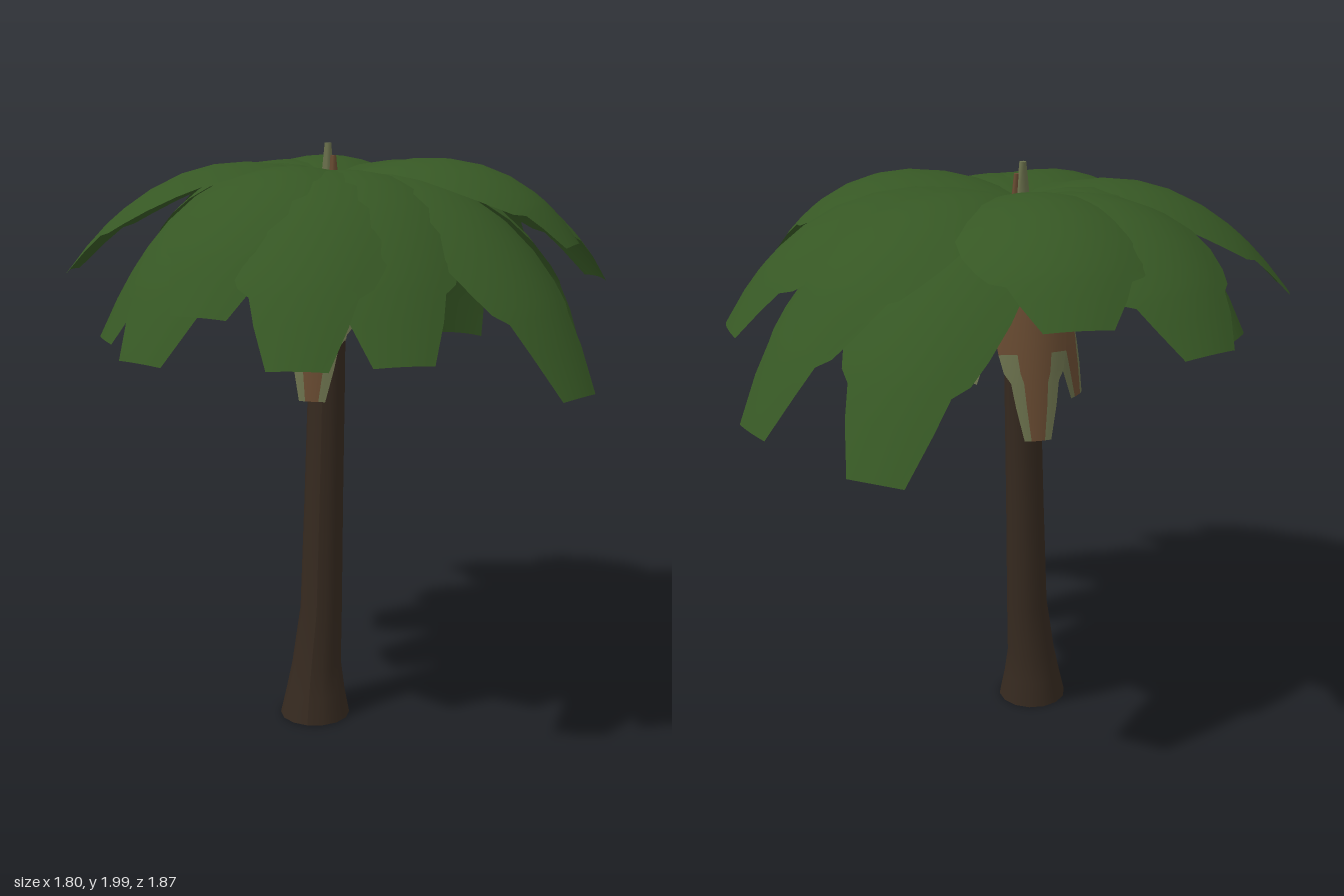
import * as THREE from 'three';

const mat = (name, color) =>
  new THREE.MeshStandardMaterial({ name, color, side: THREE.DoubleSide });

// Blade outline as [position along the spine, half width]; the last rows form the torn tip
const OUTLINE = [
  [0, 0.03], [0.08, 0.1], [0.17, 0.165], [0.28, 0.215], [0.4, 0.25], [0.52, 0.27],
  [0.64, 0.265], [0.74, 0.24], [0.8, 0.212], [0.83, 0.17], [0.9, 0.145], [0.995, 0.095],
];
const CROWN = new THREE.Vector3(-0.02, 1.88, -0.02);
const COLS = 8;
const TORN_ROW = 7;

// Arched blade swept along a bent spine; group 0 is the blade, group 1 the torn edges of the tip
function blade(tip, control, scale, arch) {
  const spine = new THREE.QuadraticBezierCurve3(CROWN, control, tip);
  const out = new THREE.Vector3(tip.x - CROWN.x, 0, tip.z - CROWN.z).normalize();
  const side = new THREE.Vector3(out.z, 0, -out.x);
  const pos = [], body = [], torn = [];
  OUTLINE.forEach(([t, half], r) => {
    const normal = spine.getTangent(t).cross(side);
    if (normal.dot(out) + normal.y < 0) normal.negate();
    for (let c = 0; c <= COLS; c++) {
      const d = ((c / COLS) * 2 - 1) * half * scale;
      const p = spine.getPoint(t).addScaledVector(side, d).addScaledVector(normal, -arch * d * d);
      pos.push(p.x, p.y, p.z);
      if (r === 0 || c === COLS) continue;
      const a = (r - 1) * (COLS + 1) + c, b = a + COLS + 1;
      const isTorn = r > TORN_ROW && (c < 2 || c >= COLS - 2);
      (isTorn ? torn : body).push(a, a + 1, b, a + 1, b + 1, b);
    }
  });
  const geo = new THREE.BufferGeometry();
  geo.setAttribute('position', new THREE.Float32BufferAttribute(pos, 3));
  geo.setIndex([...body, ...torn]);
  geo.addGroup(0, body.length, 0);
  geo.addGroup(body.length, torn.length, 1);
  geo.computeVertexNormals();
  return geo;
}

export function createModel() {
  const model = new THREE.Group();
  const bark = mat('bark', 0x35291f);
  const green = mat('leafGreen', 0x365724);
  const brown = mat('dryBrown', 0x674a31);
  const pale = mat('paleTip', 0x6a704c);
  const add = (name, geo, material, parent = model) => {
    const mesh = new THREE.Mesh(geo, material);
    mesh.name = name;
    parent.add(mesh);
    return mesh;
  };

  // Trunk: leaning tube with a flared foot; rings are [y, x, z, radius]
  const rings = [
    [0.01, -0.058, 0.07, 0.122], [0.1, -0.057, 0.066, 0.103], [0.2, -0.054, 0.06, 0.086],
    [0.4, -0.04, 0.047, 0.073], [0.8, -0.033, 0.033, 0.067], [1.2, -0.026, 0.02, 0.063],
    [1.87, -0.02, -0.02, 0.055],
  ];
  const trunk = new THREE.CylinderGeometry(1, 1, 1, 14, rings.length - 1, true);
  const tp = trunk.attributes.position;
  for (let i = 0; i < tp.count; i++) {
    const [y, x, z, r] = rings[Math.round((tp.getY(i) + 0.5) * (rings.length - 1))];
    tp.setXYZ(i, x + tp.getX(i) * r, y, z + tp.getZ(i) * r);
  }
  trunk.computeVertexNormals();
  add('trunk', trunk, bark);

  // Fronds: [tip x, tip y, tip z, width scale, reach of the bend]
  const fronds = new THREE.Group();
  fronds.name = 'fronds';
  model.add(fronds);
  [
    [0.09, 1.4, 0.925, 0.92, 0.58], [-0.24, 1.52, 0.785, 1, 0.62], [-0.44, 1.37, 0.74, 0.97, 0.6],
    [-0.68, 1.38, 0.4, 0.95, 0.6], [-0.905, 1.57, 0.11, 0.97, 0.58], [-0.72, 1.5, -0.3, 0.97, 0.6],
    [-0.62, 1.57, -0.71, 1, 0.66], [-0.25, 1.67, -0.85, 1.05, 0.68], [0.32, 1.23, -0.925, 1, 0.6],
    [0.52, 1.57, -0.76, 0.95, 0.66], [0.75, 1.27, -0.64, 0.95, 0.62], [0.86, 1.53, -0.42, 1, 0.66],
    [0.8, 1.69, 0.13, 0.97, 0.66], [0.81, 1.3, 0.02, 0.9, 0.6], [0.85, 1.27, 0.48, 0.92, 0.6],
    [0.37, 1.4, 0.79, 0.95, 0.6],
  ].forEach(([x, y, z, scale, bend], i) => {
    const control = new THREE.Vector3(x * bend, 2.08 + (y - 1.5) * 0.1, z * bend);
    add('frond' + (i + 1), blade(new THREE.Vector3(x, y, z), control, scale, 1), [green, green], fronds);
  });

  // Dry fronds hanging against the trunk, with pale torn tips
  const husks = new THREE.Group();
  husks.name = 'dryFronds';
  model.add(husks);
  [
    [-0.03, 1.17, 0.23, 0.47], [-0.22, 1.24, -0.1, 0.44],
    [-0.1, 1.13, -0.26, 0.47], [0.14, 1.29, -0.14, 0.44],
  ].forEach(([x, y, z, scale], i) => {
    const control = new THREE.Vector3(x * 0.75, 1.75, z * 0.75);
    add('dryFrond' + (i + 1), blade(new THREE.Vector3(x, y, z), control, scale, 3), [brown, pale], husks);
  });

  // Young shoot at the top of the crown: [x, z, radius, height, material]
  [[-0.028, -0.022, 0.026, 0.14, pale], [-0.008, -0.012, 0.022, 0.1, brown]]
    .forEach(([x, z, r, h, material], i) => {
      const shoot = add('shoot' + (i + 1), new THREE.CylinderGeometry(r * 0.45, r, h, 5), material);
      shoot.position.set(x, 1.86 + h / 2, z);
      shoot.scale.z = 1.5;
    });

  return model;
}
